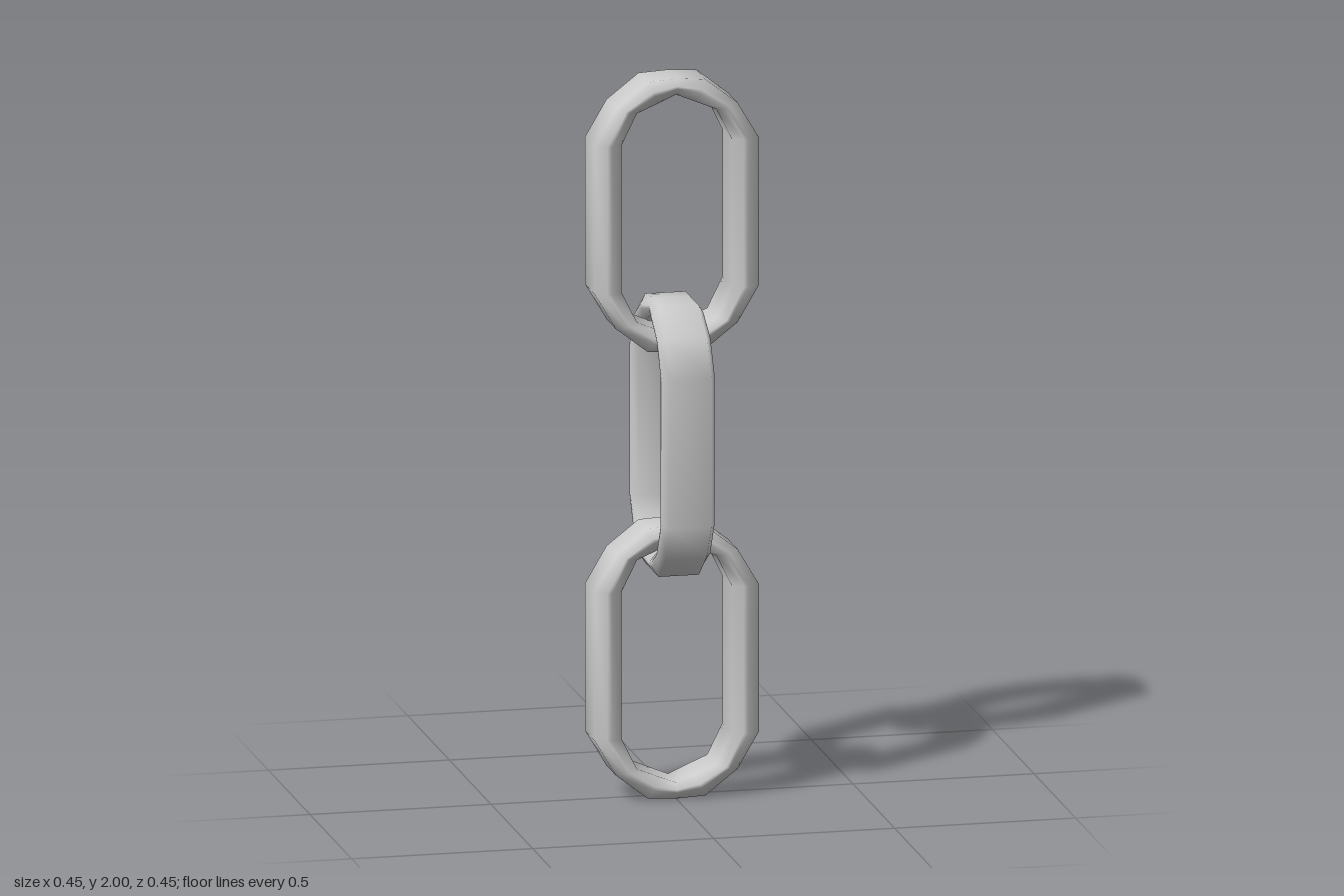
import * as THREE from 'three';

// Quarter of a link: outer x, outer y, inner x, inner y, depth scale
const QUARTER = [
  [0.227, 0.205, 0.152, 0.205, 1],
  [0.168, 0.305, 0.110, 0.290, 1],
  [0.080, 0.374, 0.050, 0.315, 0.98],
  [0, 0.380, 0, 0.335, 0.88],
];

// Chamfered cross-section: fraction from inner to outer edge, depth
const SECTION = [
  [1, -0.057], [1, 0.057], [0.57, 0.073], [0.4, 0.073],
  [0, 0.057], [0, -0.057], [0.4, -0.073], [0.57, -0.073],
];

function linkGeometry() {
  // Mirror the quarter to a half, then turn the half to close the loop
  const mirrorX = ([a, b, c, d, k]) => [-a, b, -c, d, k];
  const turn = ([a, b, c, d, k]) => [-a, -b, -c, -d, k];
  const half = [...QUARTER, ...QUARTER.slice(0, 3).reverse().map(mirrorX)];
  const rings = [...half, ...half.map(turn)];

  const positions = [];
  const indices = [];
  const n = SECTION.length;
  rings.forEach(([ox, oy, ix, iy, k], i) => {
    const next = (i + 1) % rings.length;
    SECTION.forEach(([t, z], j) => {
      positions.push(ix + (ox - ix) * t, iy + (oy - iy) * t, z * k);
      const a = i * n + j;
      const b = next * n + j;
      const c = next * n + (j + 1) % n;
      const d = i * n + (j + 1) % n;
      indices.push(a, b, c, a, c, d);
    });
  });

  const geometry = new THREE.BufferGeometry();
  geometry.setAttribute('position', new THREE.Float32BufferAttribute(positions, 3));
  geometry.setIndex(indices);
  geometry.computeVertexNormals();
  return geometry;
}

export function createModel() {
  const group = new THREE.Group();
  group.name = 'chain';
  const material = new THREE.MeshStandardMaterial({ color: 0xcccccc });
  const geometry = linkGeometry();

  // Neighbouring links stand at right angles to each other
  ['bottomLink', 'middleLink', 'topLink'].forEach((name, i) => {
    const link = new THREE.Mesh(geometry, material);
    link.name = name;
    link.position.y = 0.38 + i * 0.62;
    link.rotation.y = (i % 2) * Math.PI / 2;
    group.add(link);
  });
  return group;
}
